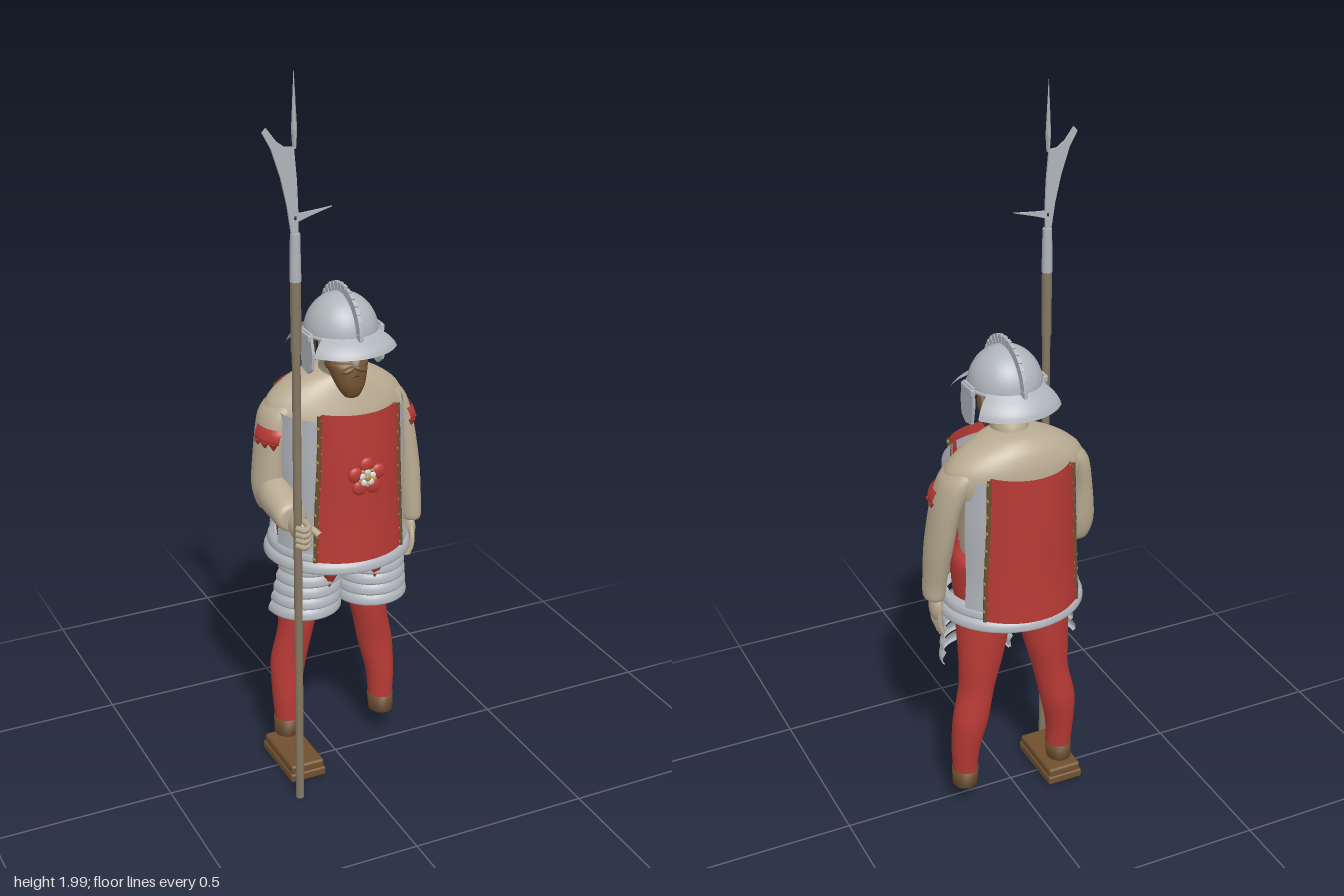
import * as THREE from 'three';
import { RoundedBoxGeometry } from 'three/addons/geometries/RoundedBoxGeometry.js';

const mat = (name, color, side = THREE.FrontSide) => {
  const m = new THREE.MeshStandardMaterial({ color, side });
  m.name = name;
  return m;
};
const CX = 0.017; // body centre line
const CZ = -0.028; // armour centre

// Skin of rings [x, y, z, ra, rb], stacked up along y (or forward along z), over the arc t0..t1
function loft(sections, { n = 28, t0 = 0, t1 = Math.PI * 2, steps = 4, axis = 'y' } = {}) {
  const full = t1 - t0 > 6.28, cols = full ? n : n + 1;
  const curve = (f) => new THREE.CatmullRomCurve3(sections.map(f), false, 'catmullrom', 0.4);
  const centre = curve((s) => new THREE.Vector3(s[0], s[1], s[2]));
  const radius = curve((s) => new THREE.Vector3(s[3], s[4], 0));
  const rows = (sections.length - 1) * steps, pos = [], idx = [];
  for (let i = 0; i <= rows; i++) {
    const c = centre.getPoint(i / rows), r = radius.getPoint(i / rows);
    for (let j = 0; j < cols; j++) {
      const t = t0 + (t1 - t0) * j / n, a = Math.max(r.x, 0.0005) * Math.sin(t), b = Math.max(r.y, 0.0005) * Math.cos(t);
      if (axis === 'y') pos.push(c.x + a, c.y, c.z + b);
      else pos.push(c.x - a, c.y + b, c.z);
    }
  }
  for (let i = 0; i < rows; i++) for (let j = 0; j < n; j++) {
    const a = i * cols + j, b = i * cols + (j + 1) % cols;
    idx.push(a, b, b + cols, a, b + cols, a + cols);
  }
  const g = new THREE.BufferGeometry();
  g.setAttribute('position', new THREE.Float32BufferAttribute(pos, 3));
  g.setIndex(idx);
  g.computeVertexNormals();
  return g;
}
const shapeOf = (pts) => new THREE.Shape(pts.map((p) => new THREE.Vector2(p[0], p[1])));

export function createModel() {
  const model = new THREE.Group();
  const skin = mat('skin', 0xb9ab92), red = mat('red cloth', 0xb83a35, THREE.DoubleSide);
  const steel = mat('steel', 0xb0b5bb, THREE.DoubleSide), brown = mat('brown hair and leather', 0x70502f);
  const gold = mat('gold', 0xb08f3c), wood = mat('pole wood', 0x857863), dark = mat('dark', 0x2a2420), white = mat('white', 0xd8d6d0);
  const add = (name, geo, m, x = 0, y = 0, z = 0) => {
    const mesh = new THREE.Mesh(geo, m);
    mesh.name = name;
    mesh.position.set(x, y, z);
    model.add(mesh);
    return mesh;
  };
  const ball = (name, m, x, y, z, rx, ry, rz) => {
    const b = add(name, new THREE.SphereGeometry(1, 18, 12), m, x, y, z);
    b.scale.set(rx, ry, rz);
    return b;
  };
  const tube = (name, pts, r, m, seg = 16) =>
    add(name, new THREE.TubeGeometry(new THREE.CatmullRomCurve3(pts.map((p) => new THREE.Vector3(...p))), seg, r, 7), m);

  // Legs, ankles and thigh armour
  for (const s of [1, -1]) {
    const side = s > 0 ? 'left' : 'right', X = (d) => CX + s * d;
    add(side + 'Leg', loft([[X(0.146), 0.12, -0.045, 0.034, 0.037], [X(0.146), 0.2, -0.05, 0.039, 0.043],
      [X(0.134), 0.3, -0.06, 0.05, 0.048], [X(0.113), 0.4, -0.055, 0.05, 0.05], [X(0.1), 0.49, -0.055, 0.062, 0.055],
      [X(0.088), 0.59, -0.045, 0.075, 0.068], [X(0.08), 0.68, -0.035, 0.08, 0.075]]), red);
    add(side + 'Ankle', loft([[X(0.148), 0.075, -0.045, 0, 0], [X(0.148), 0.077, -0.045, 0.034, 0.038],
      [X(0.146), 0.128, -0.045, 0.037, 0.04], [X(0.146), 0.13, -0.045, 0, 0]], { steps: 1 }), brown);
    for (let i = 0; i < 5; i++) {
      const y = 0.478 + i * 0.034, r = 0.101 - i * 0.003, z = -0.03 + i * 0.006, x = X(0.1 - i * 0.002);
      add(side + 'ThighBand', loft([[x, y, z, r - 0.006, r - 0.004], [x, y + 0.006, z, r + 0.002, r + 0.003],
        [x, y + 0.022, z, r, r], [x, y + 0.037, z, r - 0.01, r - 0.01]], { t0: -1.6, t1: 1.6 }), steel);
    }
    // Torn breeches showing over the thigh armour
    const puff = add(side + 'BreechesPuff', new THREE.ConeGeometry(0.055, 0.09, 5), red, X(0.068), 0.615, 0.07);
    puff.rotation.x = Math.PI;
    puff.scale.z = 0.8;
  }
  add('breeches', loft([[CX, 0.625, -0.04, 0.03, 0.03], [CX, 0.645, -0.04, 0.14, 0.09], [CX, 0.7, -0.04, 0.165, 0.12],
    [CX, 0.8, -0.04, 0.168, 0.125], [CX, 0.83, -0.04, 0.14, 0.1]]), red);

  // Shoe under the right leg
  add('shoeSole', new RoundedBoxGeometry(0.105, 0.026, 0.2, 2, 0.006), brown, -0.133, 0.02, 0.01);
  add('shoeUpper', new RoundedBoxGeometry(0.098, 0.028, 0.192, 2, 0.008), brown, -0.133, 0.042, 0.01);

  // Torso and shoulders
  add('torso', loft([[CX, 0.78, -0.045, 0.14, 0.1], [CX, 0.95, -0.045, 0.158, 0.12], [CX, 1.04, -0.05, 0.198, 0.11],
    [CX, 1.09, -0.055, 0.184, 0.1], [CX, 1.13, -0.055, 0.135, 0.085], [CX, 1.158, -0.05, 0.07, 0.06], [CX, 1.168, -0.05, 0, 0]], { n: 40 }), skin);

  // Breastplate, back plate and flared waist bands
  const plate = (zr) => [[CX, 0.68, CZ, 0.188, zr + 0.004], [CX, 0.78, CZ, 0.181, zr], [CX, 0.92, CZ, 0.183, zr + 0.003], [CX, 1.07, CZ, 0.178, zr - 0.005]];
  add('breastplate', loft(plate(0.168), { t0: -1.45, t1: 1.45 }), steel);
  add('backplate', loft(plate(0.166), { t0: Math.PI - 1.1, t1: Math.PI + 1.1 }), steel);
  for (let i = 0; i < 2; i++) {
    const y = 0.638 + i * 0.03, r = 0.203 - i * 0.01;
    add('waistBand', loft([[CX, y, CZ, r - 0.012, r - 0.032], [CX, y + 0.006, CZ, r, r - 0.02],
      [CX, y + 0.024, CZ, r - 0.003, r - 0.023], [CX, y + 0.038, CZ, r - 0.018, r - 0.036]], { n: 40 }), steel);
  }

  // Tabard panels with fringed edges
  const panel = (name, mid, zr, half) => {
    const secs = [[CX, 0.675, CZ, 0.186, zr], [CX, 0.8, CZ, 0.18, zr - 0.003], [CX, 0.95, CZ, 0.17, zr], [CX, 1.09, CZ, 0.165, zr - 0.002]];
    add(name, loft(secs, { t0: mid - half, t1: mid + half }), red);
    add(name + 'Lining', loft(secs.map((q) => [q[0], q[1], q[2], q[3] - 0.009, q[4] - 0.009]), { t0: mid - half, t1: mid + half }), red);
    for (const s of [-1, 1]) {
      const t = mid + s * half;
      const edge = secs.map((q) => [q[0] + q[3] * Math.sin(t), q[1], q[2] + q[4] * Math.cos(t)]);
      tube(name + 'Border', edge, 0.0065, brown);
      const c = new THREE.CatmullRomCurve3(edge.map((p) => new THREE.Vector3(...p)));
      for (let i = 0; i < 18; i++) {
        const p = c.getPoint((i + 0.5) / 18);
        ball(name + 'Fringe', gold, p.x + (i % 2 ? 0.0025 : -0.0025), p.y, p.z, 0.0055, 0.007, 0.0055);
      }
    }
  };
  panel('frontTabard', 0, 0.182, 0.74);
  panel('backTabard', Math.PI, 0.192, 0.8);

  // Rose on the chest
  for (let i = 0; i < 5; i++) {
    const a = Math.PI / 2 + i * Math.PI * 0.4, c = Math.cos(a), s = Math.sin(a);
    ball('petal', red, CX + c * 0.034, 0.918 + s * 0.034, 0.152, 0.021, 0.021, 0.01);
    ball('innerPetal', white, CX + c * 0.016, 0.918 + s * 0.016, 0.158, 0.0095, 0.0095, 0.005);
    ball('sepal', gold, CX - c * 0.023, 0.918 - s * 0.023, 0.157, 0.005, 0.005, 0.005);
  }
  ball('roseCentre', gold, CX, 0.918, 0.16, 0.0095, 0.0095, 0.006);

  // Left arm hanging, with open hand
  add('leftArm', loft([[0.232, 0.69, -0.012, 0, 0], [0.232, 0.692, -0.012, 0.027, 0.035], [0.23, 0.74, -0.014, 0.031, 0.04],
    [0.224, 0.85, -0.03, 0.036, 0.052], [0.209, 0.97, -0.045, 0.037, 0.06], [0.182, 1.05, -0.053, 0.044, 0.064],
    [0.15, 1.09, -0.055, 0.04, 0.055], [0.12, 1.11, -0.055, 0, 0]]), skin);
  ball('leftPalm', skin, 0.227, 0.66, -0.012, 0.018, 0.043, 0.03);
  for (let i = 0; i < 4; i++) {
    const z = -0.036 + i * 0.015;
    tube('leftFinger', [[0.227, 0.65, z], [0.226, 0.61, z], [0.217, 0.577 + (i % 3 ? 0 : 0.008), z]], 0.0075, skin, 8);
  }
  tube('leftThumb', [[0.225, 0.67, 0.01], [0.222, 0.635, 0.024], [0.216, 0.61, 0.026]], 0.008, skin, 8);

  // Right arm bent forward, with a hand around the pole
  add('rightUpperArm', loft([[-0.174, 0.785, -0.03, 0, 0], [-0.174, 0.8, -0.03, 0.035, 0.045], [-0.176, 0.86, -0.04, 0.046, 0.056],
    [-0.17, 0.97, -0.047, 0.038, 0.06], [-0.148, 1.05, -0.053, 0.044, 0.064], [-0.115, 1.09, -0.055, 0.04, 0.055],
    [-0.085, 1.11, -0.055, 0, 0]]), skin);
  add('rightForearm', loft([[-0.174, 0.84, -0.075, 0, 0], [-0.174, 0.84, -0.06, 0.034, 0.04], [-0.175, 0.842, 0, 0.048, 0.055],
    [-0.176, 0.832, 0.06, 0.046, 0.047], [-0.176, 0.82, 0.112, 0.04, 0.036], [-0.176, 0.82, 0.114, 0, 0]], { axis: 'z' }), skin);
  ball('rightPalm', skin, -0.174, 0.806, 0.145, 0.021, 0.032, 0.045);
  for (let i = 0; i < 4; i++) {
    const y = 0.832 - i * 0.016;
    tube('rightFinger', [[-0.166, y, 0.165], [-0.169, y, 0.197], [-0.183, y - 0.002, 0.21], [-0.197, y - 0.003, 0.188]], 0.0085, skin, 10);
  }
  tube('rightThumb', [[-0.165, 0.82, 0.16], [-0.151, 0.815, 0.188], [-0.142, 0.806, 0.205]], 0.0095, skin, 8);

  // Torn red sleeves with a ragged hem
  for (const s of [1, -1]) {
    const ax = s > 0 ? 0.201 : -0.163;
    const arc = s > 0 ? { t0: 0.2, t1: 1.75 } : { t0: -1.75, t1: -0.2 };
    add('sleevePatch', loft([[ax, 0.988, -0.043, 0.046, 0.065], [ax, 1.0, -0.042, 0.047, 0.068],
      [ax - s * 0.004, 1.015, -0.042, 0.046, 0.068], [ax - s * 0.009, 1.028, -0.046, 0.045, 0.066]], arc), red);
    for (const t of [0.5, 1.0, 1.5]) {
      const tooth = add('sleeveTatter', new THREE.ConeGeometry(0.014, 0.024, 5), red, ax + s * 0.039 * Math.sin(t), 0.979, -0.043 + 0.058 * Math.cos(t));
      tooth.rotation.x = Math.PI;
    }
  }

  // Head, hair, beard and face
  add('head', loft([[CX, 1.12, -0.04, 0.048, 0.05], [CX, 1.17, -0.022, 0.05, 0.058], [CX, 1.2, 0, 0.056, 0.068],
    [CX, 1.25, 0.002, 0.06, 0.074], [CX, 1.29, 0, 0.056, 0.07], [CX, 1.31, 0, 0.02, 0.02]]), skin);
  add('hair', loft([[CX, 1.19, -0.026, 0.054, 0.054], [CX, 1.22, -0.016, 0.064, 0.067], [CX, 1.28, -0.012, 0.067, 0.07]],
    { t0: 1.6, t1: Math.PI * 2 - 1.6 }), brown);
  add('beard', loft([[CX, 1.108, 0.06, 0, 0], [CX, 1.112, 0.06, 0.02, 0.018], [CX, 1.14, 0.054, 0.038, 0.034],
    [CX, 1.18, 0.038, 0.052, 0.046], [CX, 1.2, 0.03, 0.056, 0.046], [CX, 1.21, 0.025, 0.04, 0.035]]), brown);
  ball('nose', skin, CX, 1.215, 0.08, 0.011, 0.021, 0.014);
  ball('mouth', dark, CX, 1.172, 0.082, 0.014, 0.003, 0.004);
  for (const s of [1, -1]) {
    const m = ball('moustache', brown, CX + s * 0.016, 1.189, 0.077, 0.021, 0.008, 0.011);
    m.rotation.z = -s * 0.35;
    ball('sideburn', brown, CX + s * 0.054, 1.215, 0.03, 0.009, 0.03, 0.014);
    ball('eye', white, CX + s * 0.023, 1.229, 0.069, 0.01, 0.005, 0.004);
    ball('pupil', dark, CX + s * 0.023, 1.229, 0.072, 0.004, 0.0045, 0.003);
    ball('eyebrow', brown, CX + s * 0.024, 1.241, 0.07, 0.016, 0.0045, 0.007);
  }

  // Helmet: dome, rim, crest, front and rear brims, cheek plates
  const HZ = -0.004;
  const dome = add('helmetDome', new THREE.SphereGeometry(1, 32, 14, 0, Math.PI * 2, 0, Math.PI / 2), steel, CX, 1.272, HZ);
  dome.scale.set(0.097, 0.103, 0.1);
  const rim = add('helmetRim', new THREE.TorusGeometry(0.097, 0.005, 8, 36), steel, CX, 1.274, HZ);
  rim.rotation.x = Math.PI / 2;
  const crestShape = new THREE.Shape();
  crestShape.absarc(0, 0, 0.12, 0, Math.PI, false);
  crestShape.absarc(0, 0, 0.096, Math.PI, 0, true);
  const crest = add('helmetCrest', new THREE.ExtrudeGeometry(crestShape, { depth: 0.007, bevelEnabled: false, curveSegments: 24 }), steel, CX - 0.0035, 1.275, HZ);
  crest.rotation.y = Math.PI / 2;
  for (let i = 0; i < 17; i++) {
    const a = (i + 0.5) / 17 * Math.PI;
    const rib = add('crestRib', new THREE.BoxGeometry(0.01, 0.022, 0.015), steel, CX, 1.275 + 0.113 * Math.sin(a), HZ + 0.113 * Math.cos(a));
    rib.rotation.x = Math.PI / 2 - a;
  }
  for (const [name, mid, low] of [['frontBrim', 0, 1.24], ['rearBrim', Math.PI, 1.226]]) {
    const h = 1.282 - low;
    add(name, loft([[CX, low, HZ, 0.146, 0.15], [CX, low + h * 0.3, HZ, 0.139, 0.143], [CX, low + h * 0.65, HZ, 0.124, 0.127],
      [CX, 1.282, HZ, 0.1, 0.104]], { t0: mid - 0.93, t1: mid + 0.93 }), steel);
  }
  const cheek = shapeOf([[-0.04, 1.19], [-0.015, 1.172], [0.02, 1.18], [0.03, 1.23], [0.03, 1.285], [-0.03, 1.285], [-0.045, 1.235]]);
  for (const s of [1, -1]) {
    const c = add('cheekPlate', new THREE.ExtrudeGeometry(cheek, { depth: 0.008, bevelEnabled: false }), steel, CX + s * 0.1 - 0.004, 0, 0);
    c.rotation.y = Math.PI / 2;
    add('cheekHinge', new RoundedBoxGeometry(0.014, 0.02, 0.066, 2, 0.004), steel, CX + s * 0.102, 1.272, 0);
  }

  // Halberd: pole, sleeve, socket, blade, hook and spike
  const PX = -0.185, PZ = 0.165;
  const rod = (name, y0, y1, r0, r1, m, n = 12) => add(name, new THREE.CylinderGeometry(r1, r0, y1 - y0, n), m, PX, (y0 + y1) / 2, PZ);
  rod('pole', 0, 1.32, 0.011, 0.011, wood);
  rod('poleUpper', 1.3, 1.5, 0.0135, 0.0135, wood);
  rod('poleSocket', 1.48, 1.6, 0.0145, 0.0125, steel);
  rod('spikeShank', 1.805, 1.85, 0.005, 0.008, steel, 4);
  rod('spike', 1.85, 1.99, 0.008, 0.0005, steel, 4);
  const flat = (name, pts) => add(name, new THREE.ExtrudeGeometry(shapeOf(pts), { depth: 0.006, bevelEnabled: false }), steel, 0, 0, PZ - 0.003);
  flat('axeBlade', [[-0.194, 1.59], [-0.178, 1.59], [-0.177, 1.65], [-0.18, 1.73], [-0.187, 1.81], [-0.21, 1.812], [-0.232, 1.828],
    [-0.257, 1.861], [-0.267, 1.85], [-0.245, 1.81], [-0.222, 1.74], [-0.206, 1.67]]);
  flat('bladeHook', [[-0.182, 1.627], [-0.15, 1.638], [-0.088, 1.656], [-0.15, 1.65], [-0.182, 1.648]]);
  ball('hookRivet', dark, PX, 1.638, PZ, 0.004, 0.006, 0.006);
  return model;
}
